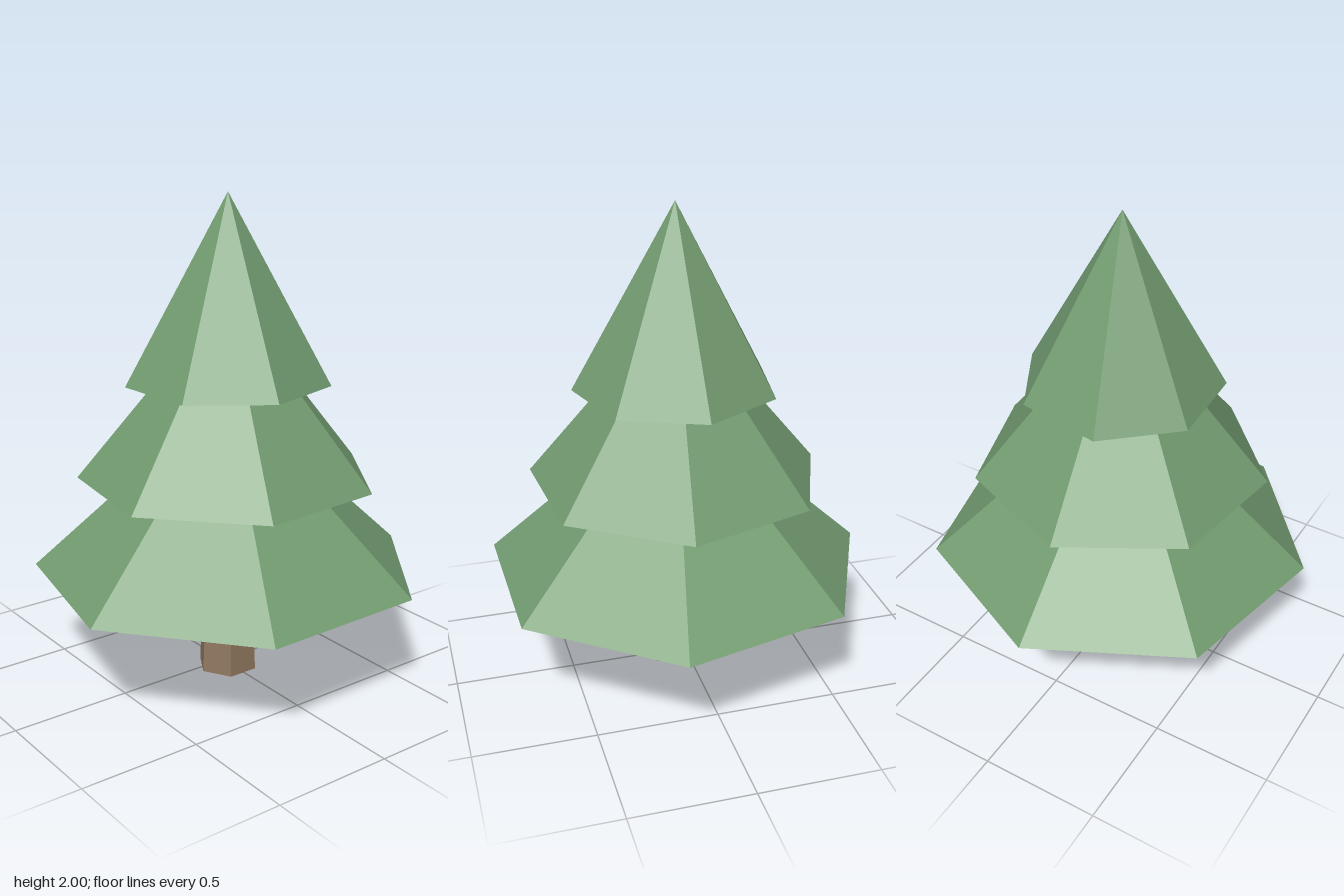
import * as THREE from 'three';

const CX = -0.003, CZ = 0.037; // axis of the tree

export function createModel() {
  const tree = new THREE.Group();
  tree.name = 'pineTree';

  const foliage = new THREE.MeshStandardMaterial({ color: 0x739c71, flatShading: true });
  foliage.name = 'foliage green';
  const bark = new THREE.MeshStandardMaterial({ color: 0x90785f, flatShading: true });
  bark.name = 'bark brown';

  const add = (name, geometry, material, baseY, height) => {
    const mesh = new THREE.Mesh(geometry, material);
    mesh.name = name;
    mesh.position.set(CX, baseY + height / 2, CZ);
    tree.add(mesh);
  };

  // Tapered hexagonal trunk, ending just inside the lowest tier
  add('trunk', new THREE.CylinderGeometry(0.106, 0.128, 0.5, 6, 1, false, Math.PI / 2), bark, 0, 0.5);

  // Three overlapping seven-sided cones, each twisted a little further
  const tierHeight = 0.75;
  const tiers = [
    { name: 'lowerTier', radius: 0.807, baseY: 0.455, twist: 1.1 },
    { name: 'middleTier', radius: 0.615, baseY: 0.852, twist: 4.5 },
    { name: 'topTier', radius: 0.418, baseY: 1.25, twist: 16.2 },
  ];
  for (const { name, radius, baseY, twist } of tiers) {
    const start = Math.PI + THREE.MathUtils.degToRad(twist);
    add(name, new THREE.ConeGeometry(radius, tierHeight, 7, 1, false, start), foliage, baseY, tierHeight);
  }

  return tree;
}
